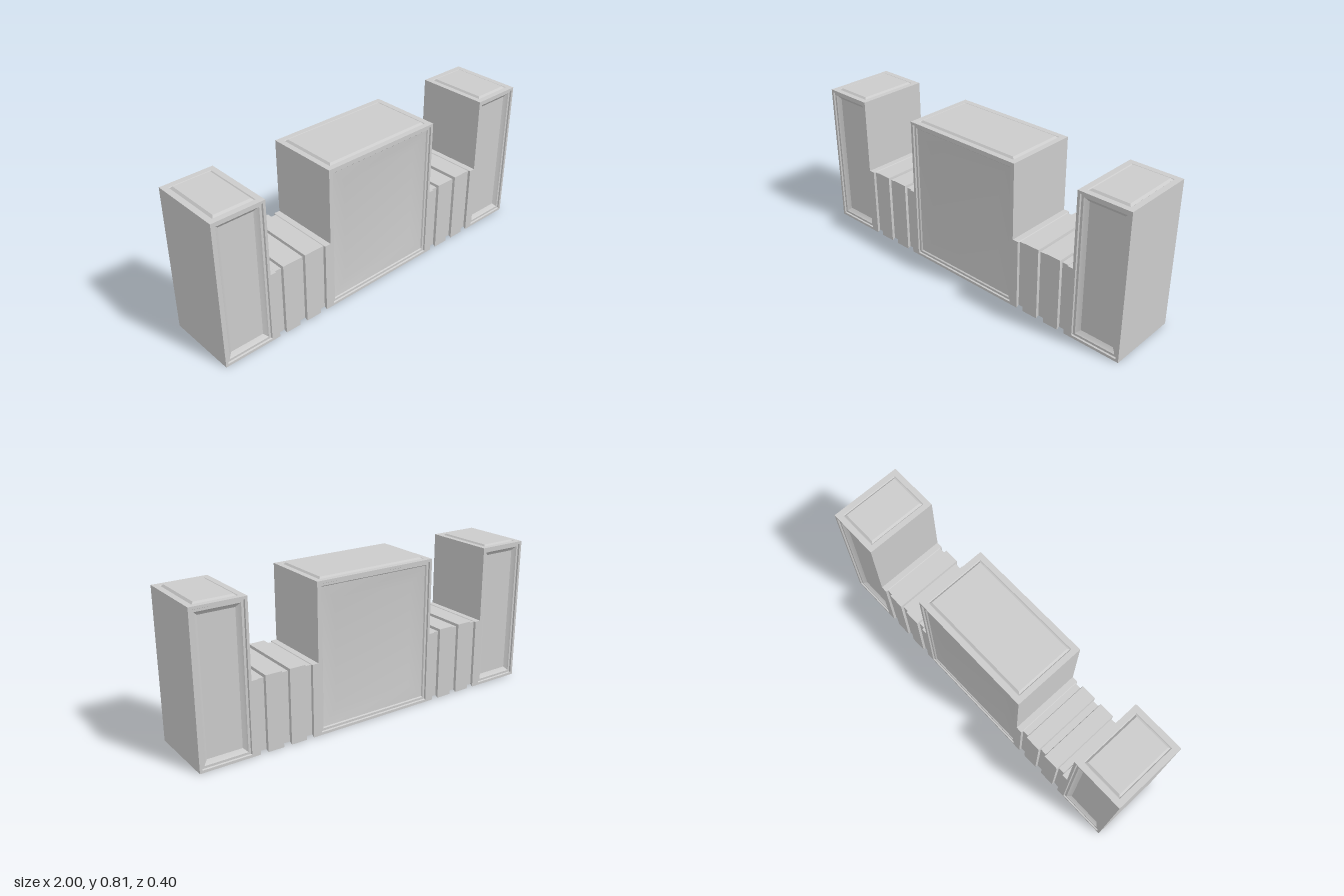
import * as THREE from 'three';
import { toCreasedNormals } from 'three/addons/utils/BufferGeometryUtils.js';

const material = new THREE.MeshStandardMaterial({ color: 0xcccccc, side: THREE.DoubleSide });
const HEIGHT = 0.8, DEPTH = 0.4, WALL = 0.4;

// Pushes the quad a-b-c-d (counter-clockwise) as two triangles
function quad(out, a, b, c, d) {
  for (const p of [a, b, c, a, c, d]) out.push(...p);
}

function makeMesh(name, positions) {
  const geometry = new THREE.BufferGeometry();
  geometry.setAttribute('position', new THREE.Float32BufferAttribute(positions, 3));
  const mesh = new THREE.Mesh(toCreasedNormals(geometry, 0.5), material);
  mesh.name = name;
  return mesh;
}

// Rectangular face looking along +z, moulded by nested [inset, offset] rings
function panel(name, w, h, rings = [[0, 0]]) {
  const out = [];
  const loops = rings.map(([inset, z]) => {
    const x = w / 2 - inset, y = h / 2 - inset;
    return [[-x, -y, z], [x, -y, z], [x, y, z], [-x, y, z]];
  });
  for (let i = 0; i + 1 < loops.length; i++) {
    for (let k = 0; k < 4; k++) {
      const n = (k + 1) % 4;
      quad(out, loops[i][k], loops[i][n], loops[i + 1][n], loops[i + 1][k]);
    }
  }
  quad(out, ...loops[loops.length - 1]);
  return makeMesh(name, out);
}

// Recessed frame for front and back, raised plate for the top
const frameRings = (bevel) => [
  [0, 0], [0.014, 0], [0.017, -0.008], [0.029, -0.008],
  [0.034, -0.014], [bevel, -0.025],
];
const topRings = [[0, 0], [0.03, 0], [0.034, -0.004], [0.044, 0.006]];

// Hollow block, open below; each side wall starts at its own height
function block(name, w, bevel, leftBase, rightBase) {
  const group = new THREE.Group();
  group.name = name;

  for (const [label, s] of [['frontPanel', 1], ['backPanel', -1]]) {
    const face = panel(label, w, HEIGHT, frameRings(bevel));
    face.position.set(0, HEIGHT / 2, s * DEPTH / 2);
    if (s < 0) face.rotation.y = Math.PI;
    group.add(face);
  }

  const top = panel('topPanel', w, DEPTH, topRings);
  top.position.y = HEIGHT;
  top.rotation.x = -Math.PI / 2;
  group.add(top);

  for (const [label, s, base] of [['leftWall', 1, leftBase], ['rightWall', -1, rightBase]]) {
    const wall = panel(label, DEPTH, HEIGHT - base);
    wall.position.set(s * w / 2, (HEIGHT + base) / 2, 0);
    wall.rotation.y = s * Math.PI / 2;
    group.add(wall);
  }
  return group;
}

// Ribbed shell: an arch-shaped section swept along x, [x, inset, top inset]
function ribbedWall(name) {
  const half = [
    [0.183, 0, 0.01], [0.15, 0, 0.01], [0.147, 0.013, 0.013],
    [0.113, 0.013, 0.013], [0.109, 0, 0], [0.022, 0, 0], [0.018, 0.013, 0.013],
  ];
  const profile = [
    ...half.map(([x, i, t]) => [-x, i, t]),
    ...[...half].reverse(),
  ];
  const sections = profile.map(([x, i, t]) => {
    const z = DEPTH / 2 - i, y = WALL - t;
    return [[x, i, z], [x, y, z], [x, y, -z], [x, i, -z]];
  });
  const out = [];
  for (let s = 0; s + 1 < sections.length; s++) {
    const a = sections[s], b = sections[s + 1];
    for (let j = 0; j < 3; j++) quad(out, a[j], b[j], b[j + 1], a[j + 1]);
  }
  return makeMesh(name, out);
}

export function createModel() {
  const model = new THREE.Group();
  model.name = 'ribbedBarrier';
  const joint = WALL - 0.015;

  // Wide middle block
  model.add(block('centerBlock', 0.7, 0.115, joint, joint));

  // End pillars and the low ribbed walls joining them to the middle
  for (const [side, s] of [['left', 1], ['right', -1]]) {
    const pillar = block(side + 'Pillar', 0.285, 0.05, s > 0 ? 0 : joint, s > 0 ? joint : 0);
    pillar.position.x = s * 0.8575;
    const ribs = ribbedWall(side + 'RibbedWall');
    ribs.position.x = s * 0.5325;
    model.add(pillar, ribs);
  }
  return model;
}
